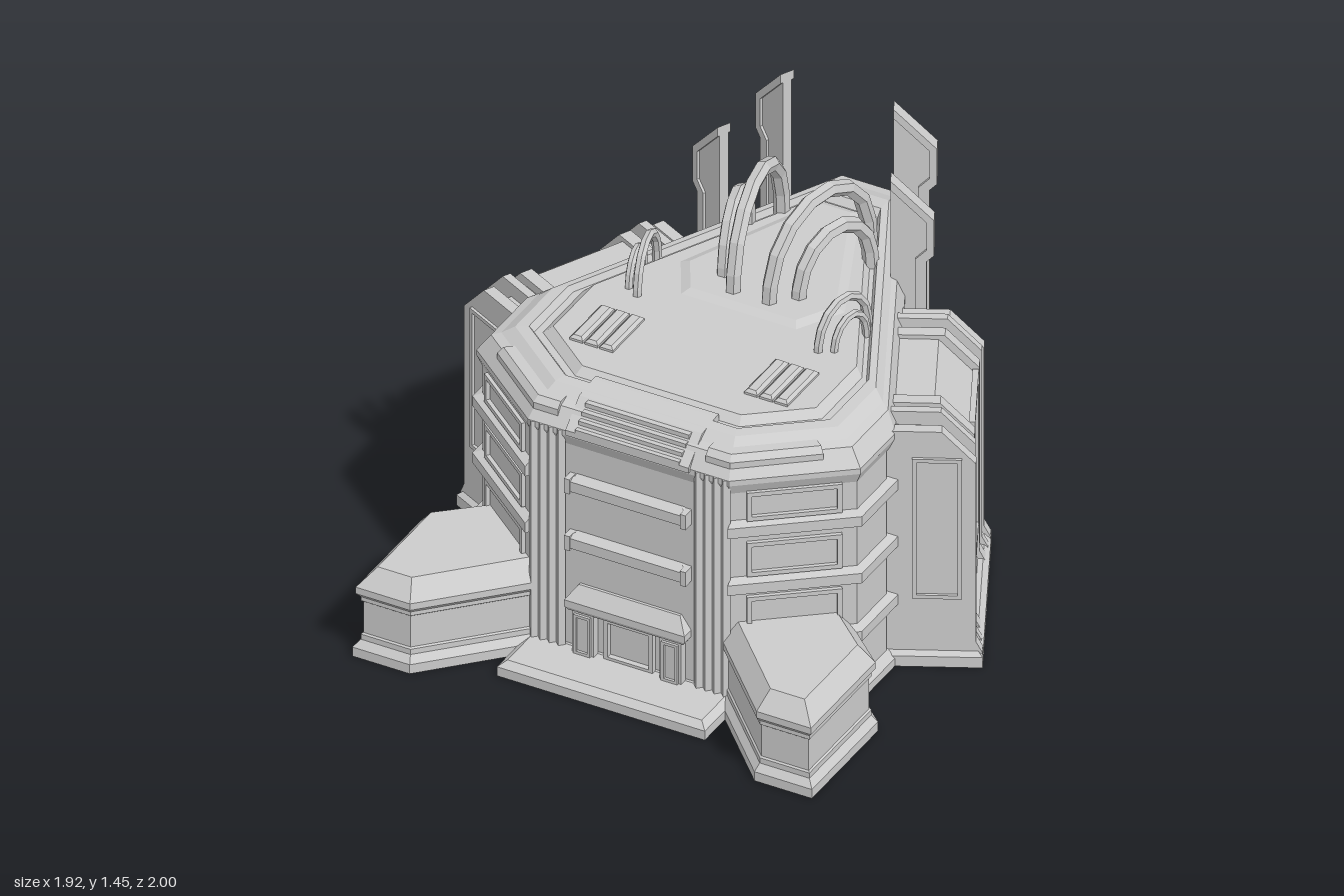
import * as THREE from 'three';

const material = new THREE.MeshStandardMaterial({ color: 0xcccccc, flatShading: true });

function add(parent, name, geometry, x = 0, y = 0, z = 0, turn = 0) {
  const mesh = new THREE.Mesh(geometry, material);
  mesh.name = name;
  mesh.position.set(x, y, z);
  mesh.rotation.y = turn;
  parent.add(mesh);
  return mesh;
}

const box = (w, h, d) => new THREE.BoxGeometry(w, h, d);
const rect = (x0, x1, z0, z1) => [[x0, z0], [x1, z0], [x1, z1], [x0, z1]];
const symmetric = (right) => [...right, ...right.map(([x, z]) => [-x, z]).reverse()];

// Moves each edge of a convex outline inward by d times its weight
function inset(poly, d, weights) {
  const n = poly.length;
  const lines = poly.map(([x, z], i) => {
    const [x2, z2] = poly[(i + 1) % n];
    const len = Math.hypot(x2 - x, z2 - z);
    const a = -(z2 - z) / len, b = (x2 - x) / len;
    return [a, b, a * x + b * z + d * (weights ? weights[i] : 1)];
  });
  return lines.map(([e, f, c2], i) => {
    const [a, b, c1] = lines[(i + n - 1) % n];
    const det = a * f - b * e;
    return [(c1 * f - b * c2) / det, (a * c2 - e * c1) / det];
  });
}

// Solid made of stacked outlines; levels are [inset, height]
function loft(poly, levels, weights) {
  const n = poly.length, pos = [], index = [];
  for (const [d, y] of levels) for (const [x, z] of inset(poly, d, weights)) pos.push(x, y, z);
  const top = (levels.length - 1) * n;
  for (let k = 0; k < top; k += n) {
    for (let i = 0; i < n; i++) {
      const a = k + i, b = k + (i + 1) % n;
      index.push(a, a + n, b, b, a + n, b + n);
    }
  }
  for (let i = 1; i < n - 1; i++) index.push(0, i, i + 1, top, top + i + 1, top + i);
  const g = new THREE.BufferGeometry();
  g.setAttribute('position', new THREE.Float32BufferAttribute(pos, 3));
  g.setIndex(index);
  const flat = g.toNonIndexed();
  flat.computeVertexNormals();
  return flat;
}

// Section of [z, y] points extruded from x0 to x1
function prism(points, x0, x1) {
  const shape = new THREE.Shape(points.map(([z, y]) => new THREE.Vector2(z, y)));
  const g = new THREE.ExtrudeGeometry(shape, { depth: x1 - x0, bevelEnabled: false });
  return g.rotateY(-Math.PI / 2).translate(x1, 0, 0);
}

// Flat rectangular frame, facing +z
function frame(w, h, border, depth) {
  const corners = (a, b) => [[-a, -b], [a, -b], [a, b], [-a, b]].map(([x, y]) => new THREE.Vector2(x, y));
  const shape = new THREE.Shape(corners(w / 2, h / 2));
  shape.holes.push(new THREE.Path(corners(w / 2 - border, h / 2 - border)));
  return new THREE.ExtrudeGeometry(shape, { depth, bevelEnabled: false });
}

function arch(x1, z1, x2, z2, height, r) {
  const pts = [];
  for (let i = 0; i <= 8; i++) {
    const a = (i / 8) * Math.PI, t = (1 - Math.cos(a)) / 2;
    const y = 0.96 + (height - r - 0.96) * Math.pow(Math.max(0, Math.sin(a)), 0.8);
    pts.push(new THREE.Vector3(x1 + (x2 - x1) * t, y, z1 + (z2 - z1) * t));
  }
  return new THREE.TubeGeometry(new THREE.CatmullRomCurve3(pts), 9, r, 6);
}

// Copy of a group reflected in x, with face order corrected
function mirrored(source, name) {
  const out = new THREE.Group();
  out.name = name;
  source.updateMatrixWorld(true);
  source.traverse((o) => {
    if (!o.isMesh) return;
    const g = o.geometry.index ? o.geometry.toNonIndexed() : o.geometry.clone();
    g.applyMatrix4(o.matrixWorld).scale(-1, 1, 1);
    const p = g.attributes.position, v = new THREE.Vector3(), w = new THREE.Vector3();
    for (let i = 0; i < p.count; i += 3) {
      v.fromBufferAttribute(p, i + 1);
      w.fromBufferAttribute(p, i + 2);
      p.setXYZ(i + 1, w.x, w.y, w.z);
      p.setXYZ(i + 2, v.x, v.y, v.z);
    }
    g.computeVertexNormals();
    add(out, o.name, g);
  });
  return out;
}

const WALL_TURN = Math.atan2(0.894, -0.447); // faces out of the slanted rear wall
const CORNER_TURN = 0.671; // faces out of the front corner wall

function buildWing() {
  const wing = new THREE.Group();
  wing.name = 'sideWing';
  wing.position.set(0.551, 0, -0.116);
  wing.rotation.y = WALL_TURN;
  add(wing, 'wingBase', loft(rect(-0.365, 0.365, -0.1, 0.277), [[0, 0], [0, 0.04], [0.02, 0.06]]));
  const section = (d, top) => [[-0.08, 0], [d + 0.02, 0], [d + 0.02, 0.05], [d, 0.09],
    [d, top - 0.12], [d - 0.11, top], [-0.08, top]];
  add(wing, 'wingCore', prism(section(0.225, 0.905), -0.18, 0.2));
  for (const s of [-1, 1]) {
    // ribs, grooves and end slabs: inner x, outer x, depth, top
    for (const [a, b, d, top] of [[0.17, 0.215, 0.245, 0.92], [0.215, 0.25, 0.205, 0.89],
      [0.25, 0.28, 0.25, 0.93], [0.28, 0.31, 0.2, 0.88], [0.31, 0.35, 0.255, 0.9]]) {
      add(wing, 'wingRib', prism(section(d, top), Math.min(a * s, b * s), Math.max(a * s, b * s)));
    }
    add(wing, 'wingEndFrame', frame(0.16, 0.54, 0.014, 0.012), 0.348 * s, 0.53, 0.13, s * Math.PI / 2);
  }
  add(wing, 'wingFrame', frame(0.3, 0.6, 0.022, 0.02), 0.01, 0.5, 0.224);
  return wing;
}

function buildPylon(x, z, h) {
  const pylon = new THREE.Group();
  pylon.name = 'pylon';
  pylon.position.set(x, 0, z);
  pylon.rotation.y = WALL_TURN;
  add(pylon, 'pylonBlade', prism([[-0.045, 0], [0.06, 0], [0.06, h - 0.31], [0.09, h - 0.28],
    [0.09, h - 0.15], [-0.045, h]], -0.017, 0.017));
  // Thicker rim along the outer edge and the sloping top
  add(pylon, 'pylonRim', prism([[0.035, 0], [0.07, 0], [0.07, h - 0.31], [0.095, h - 0.285],
    [0.095, h - 0.15], [-0.045, h], [-0.045, h - 0.035], [0.07, h - 0.158], [0.07, h - 0.265],
    [0.035, h - 0.3]], -0.026, 0.026));
  return pylon;
}

function buildSide() {
  const side = new THREE.Group();
  side.name = 'leftSide';
  side.add(buildWing(), buildPylon(0.235, -0.737, 1.45), buildPylon(0.345, -0.517, 1.34));

  // Low bunker at the front corner
  const bunker = [[0.84, 0.56], [0.84, 1], [0.63, 1], [0.33, 0.69], [0.66, 0.4]];
  add(side, 'bunker', loft(bunker, [[0, 0], [0, 0.035], [0.02, 0.06], [0.02, 0.08], [0.026, 0.085],
    [0.026, 0.205], [0.02, 0.21], [0.02, 0.225], [0.008, 0.24], [0.008, 0.265], [0.06, 0.33]], [1, 1, 1, 0, 1]));

  // Wrapped ledges and windows of the front corner
  const corner = [[0.712, 0.18], [0.712, 0.435], [0.37, 0.706], [0.3, 0.3]];
  for (const y of [0.25, 0.475, 0.695]) {
    add(side, 'cornerLedge', loft(corner, [[0.03, y - 0.03], [0, y - 0.02], [0, y + 0.018], [0.03, y + 0.03]], [1, 1, 0, 0]));
  }
  for (const [y, h] of [[0.365, 0.13], [0.575, 0.13], [0.78, 0.11]]) {
    add(side, 'windowFrame', frame(0.31, h, 0.016, 0.014), 0.525, y, 0.546, CORNER_TURN);
  }
  add(side, 'corniceCorner', loft([[0.27, 0.5], [0.5, 0.4], [0.62, 0.5], [0.37, 0.7], [0.27, 0.7]],
    [[0.03, 0.9], [0.03, 0.945], [0.05, 0.965]], [0, 0, 1, 1, 0]));

  // Fluted pilasters and entrance posts
  for (let i = 0; i < 4; i++) {
    add(side, 'pilaster', box(0.024, 0.86, 0.024), 0.252 + i * 0.033, 0.46, 0.684, Math.PI / 4);
  }
  add(side, 'entrancePost', box(0.08, 0.18, 0.05), 0.16, 0.13, 0.68);
  add(side, 'entrancePostFrame', frame(0.06, 0.15, 0.01, 0.01), 0.16, 0.13, 0.704);

  // Roof arches
  add(side, 'largeArch', arch(0.065, -0.12, 0.16, -0.62, 1.31, 0.027));
  add(side, 'mediumArch', arch(0.135, -0.19, 0.225, -0.51, 1.215, 0.027));
  add(side, 'smallArch', arch(0.33, 0.035, 0.385, -0.2, 1.15, 0.016));
  add(side, 'tinyArch', arch(0.375, 0.01, 0.407, -0.15, 1.1, 0.014));

  // Roof vents
  for (let i = 0; i < 3; i++) {
    add(side, 'roofVent', loft(rect(0.24 + i * 0.055, 0.288 + i * 0.055, 0.15, 0.36),
      [[0, 0.97], [0, 0.998], [0.01, 1.008]]));
  }
  return side;
}

export function createModel() {
  const model = new THREE.Group();
  model.name = 'fortress';

  // Main walls, then cornice and stepped roof
  const plan = symmetric([[0.11, -1], [0.71, 0.2], [0.71, 0.43], [0.37, 0.7]]);
  add(model, 'walls', loft(plan, [[0, 0], [0, 0.03], [0.025, 0.06], [0.025, 0.86]],
    [1.3, 1, 1, 1, 1, 1, 1.3, 1.8]));
  add(model, 'roof', loft(plan, [[0.025, 0.83], [0.008, 0.87], [0.008, 0.89], [0.05, 0.95],
    [0.08, 0.96], [0.12, 0.985], [0.16, 0.988], [0.175, 0.965], [0.2, 0.965], [0.23, 0.99]],
  [0.6, 1, 1, 1, 1, 1, 0.6, 1.4]));
  add(model, 'roofPlatform', loft(symmetric([[0.07, -0.72], [0.3, -0.2], [0.21, -0.04]]),
    [[0, 0.97], [0, 0.99], [0.03, 1.003]]));

  // Ridges around the rear
  const rear = [[-0.11, -1], [0.11, -1], [0.36, -0.5], [-0.36, -0.5]];
  for (const y of [0.25, 0.47, 0.69]) {
    add(model, 'rearRidge', loft(rear, [[0.045, y - 0.06], [0.02, y - 0.015], [0.02, y + 0.015], [0.045, y + 0.06]],
      [1, 0.75, 0, 0.75]));
  }

  // Front: step, ledges, entrance and louvre
  add(model, 'frontStep', loft(rect(-0.38, 0.38, 0.6, 0.875), [[0, 0], [0, 0.035], [0.025, 0.055]]));
  for (const y of [0.475, 0.695]) {
    add(model, 'frontLedge', loft(rect(-0.22, 0.22, 0.6, 0.712), [[0.025, y - 0.03], [0, y - 0.02], [0, y + 0.018], [0.025, y + 0.03]]));
    for (const x of [-0.212, 0.212]) add(model, 'ledgeEnd', box(0.02, 0.056, 0.05), x, y, 0.692);
  }
  add(model, 'entranceHeader', loft(rect(-0.22, 0.22, 0.6, 0.72), [[0.01, 0.215], [0, 0.23], [0, 0.255], [0.035, 0.305]]));
  add(model, 'doorFrame', frame(0.18, 0.16, 0.015, 0.025), 0, 0.13, 0.67);
  add(model, 'louvreHousing', prism([[0.5, 0.88], [0.702, 0.88], [0.702, 0.9], [0.61, 0.98], [0.52, 0.99], [0.5, 0.99]], -0.225, 0.225));
  for (let i = 0; i < 4; i++) {
    add(model, 'louvreSlat', box(0.38, 0.016, 0.026), 0, 0.905 + i * 0.021, 0.69 - i * 0.023);
  }

  const side = buildSide();
  model.add(side, mirrored(side, 'rightSide'));
  return model;
}
